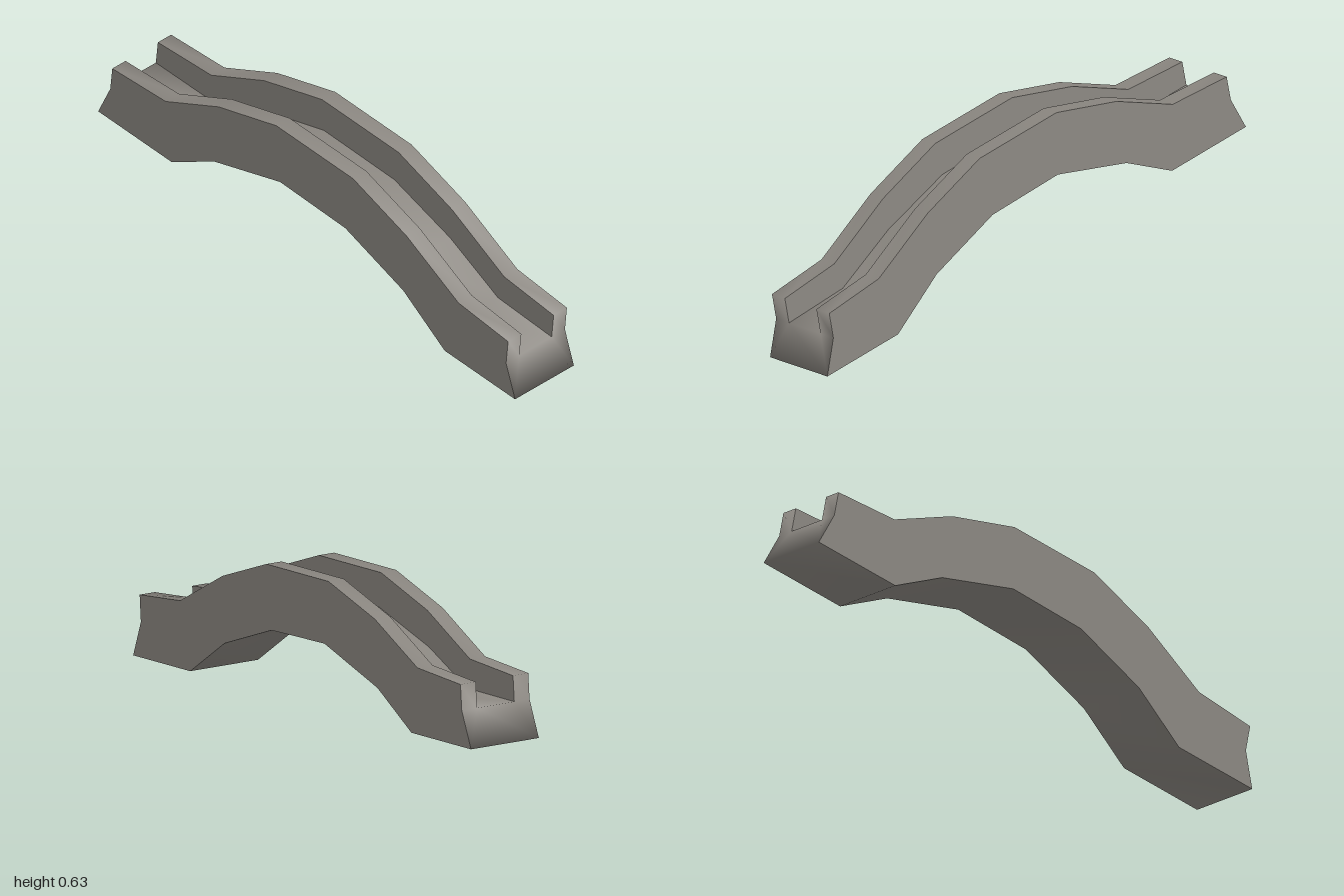
import * as THREE from 'three';

// Stations front to back on the right outer side: bottom, deck and wall-top heights as [z, y]
const STATIONS = [
  { bottom: [0.985, 0.018], deck: [0.95, 0.147], top: [0.965, 0.24] },
  { bottom: [0.65, 0.066], drop: 0.44, top: [0.73, 0.292] },
  { bottom: [0.46, 0.224], drop: 0.52, top: [0.49, 0.455] },
  { bottom: [0.19, 0.355], drop: 0.55, top: [0.24, 0.575] },
  { bottom: [-0.12, 0.404], drop: 0.55, top: [-0.125, 0.627] },
  { bottom: [-0.44, 0.346], drop: 0.53, top: [-0.405, 0.58] },
  { bottom: [-0.65, 0.252], drop: 0.45, top: [-0.665, 0.488] },
  { bottom: [-1.0, 0.302], deck: [-0.935, 0.42], top: [-0.92, 0.508] },
];
const ACROSS = new THREE.Vector3(-0.275, -0.018, 0.015); // right edge to left edge
const WALL = 0.225; // wall thickness as a fraction of the width

// A point at fraction t of the width; the whole span is slightly turned and rolled
function place([z, y], t) {
  return new THREE.Vector3(0.151 + 0.058 * z - 0.055 * y, y, z).addScaledVector(ACROSS, t);
}

// U-shaped section, counter-clockwise seen from the front
function section({ bottom, deck, drop, top }) {
  const d = deck ?? [0, 1].map((i) => THREE.MathUtils.lerp(top[i], bottom[i], drop));
  const half = [[bottom, 0], [d, 0], [top, 0], [top, WALL], [d, WALL]];
  return [
    ...half.map(([p, t]) => place(p, t)),
    ...half.reverse().map(([p, t]) => place(p, 1 - t)),
  ];
}

// Smooth skin over the chosen section edges, with optional end faces
function skin(rings, edges, caps = []) {
  const n = rings[0].length;
  const last = rings.length - 1;
  const index = [];
  const face = (...c) => {
    for (let i = 1; i < c.length - 1; i++) index.push(c[0], c[i], c[i + 1]);
  };
  for (let i = 0; i < last; i++) {
    for (const k of edges) {
      const a = i * n + k;
      const b = i * n + (k + 1) % n;
      face(a, a + n, b + n, b);
    }
  }
  for (const c of caps) {
    face(...c);
    face(...[...c].reverse().map((k) => last * n + k));
  }
  const geometry = new THREE.BufferGeometry().setFromPoints(rings.flat());
  geometry.setIndex(index);
  geometry.computeVertexNormals();
  return geometry;
}

export function createModel() {
  const group = new THREE.Group();
  group.name = 'archedBridge';
  const material = new THREE.MeshStandardMaterial({ color: 0x8a8680 });
  const rings = STATIONS.map(section);
  const add = (name, geometry) => {
    const mesh = new THREE.Mesh(geometry, material);
    mesh.name = name;
    group.add(mesh);
  };

  // Upright outer and inner faces of the parapets
  add('parapetSides', skin(rings, [0, 1, 3, 5, 7, 8]));

  // Parapet tops, deck, underside and slanted ends, shaded softly into each other
  const caps = [[0, 1, 4], [1, 2, 3, 4], [0, 4, 5, 9], [5, 6, 7, 8], [9, 5, 8]];
  add('deckUndersideAndEnds', skin(rings, [2, 4, 6, 9], caps));
  return group;
}
